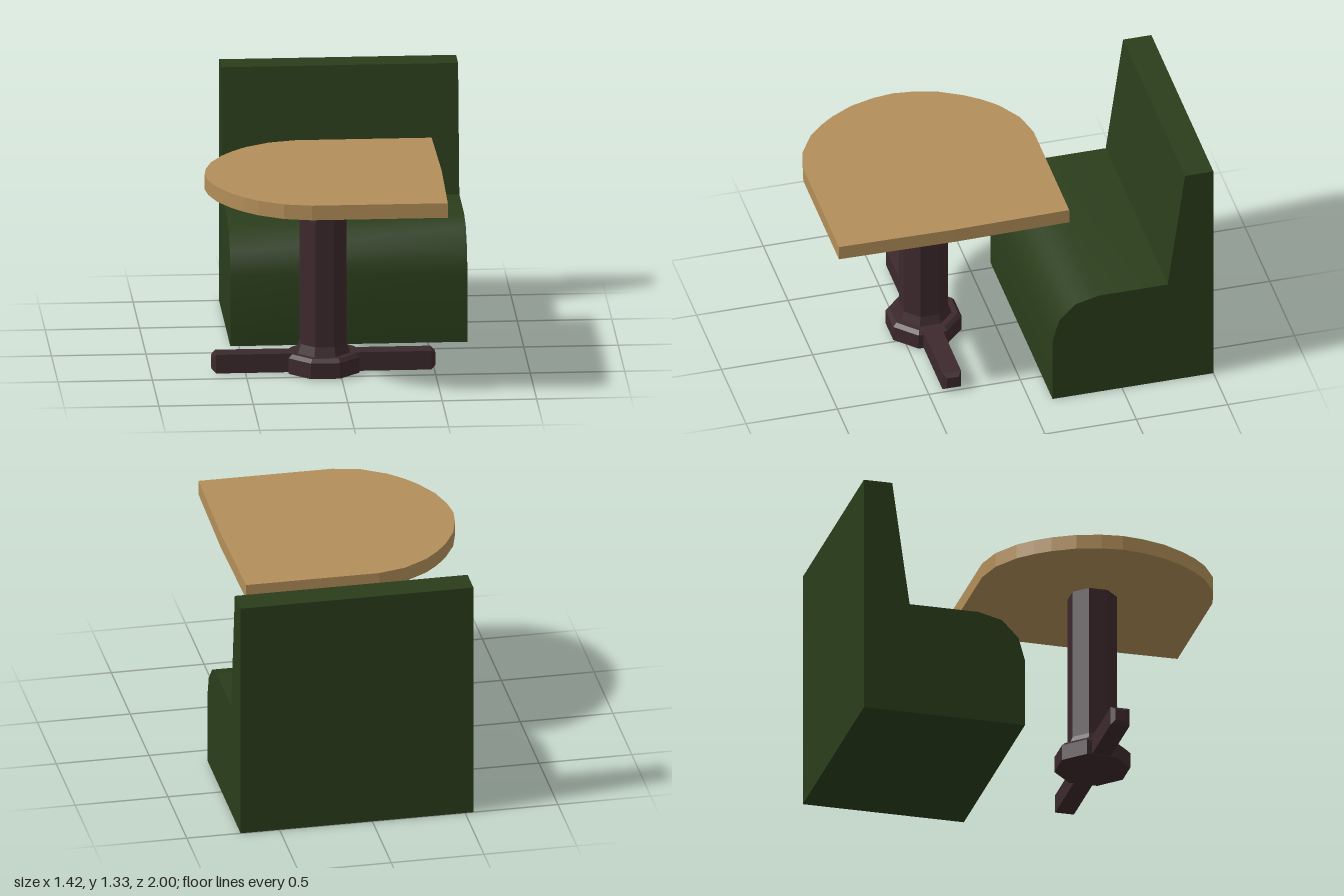
import * as THREE from 'three';
import { toCreasedNormals } from 'three/addons/utils/BufferGeometryUtils.js';

const green = new THREE.MeshStandardMaterial({ color: 0x2a3d1b });
const wood = new THREE.MeshStandardMaterial({ color: 0xb28e59 });
const darkWood = new THREE.MeshStandardMaterial({ color: 0x3c292d });

const TABLE_X = -0.087, TABLE_Z = 0.37;

function addMesh(parent, name, geometry, material) {
  const mesh = new THREE.Mesh(geometry, material);
  mesh.name = name;
  parent.add(mesh);
  return mesh;
}

function extrude(points, depth) {
  const shape = new THREE.Shape(points.map(([x, y]) => new THREE.Vector2(x, y)));
  return new THREE.ExtrudeGeometry(shape, { depth, bevelEnabled: false });
}

// Faceted solid with flats facing the axes; profile is [half width, height] upwards
function prism(profile, sides) {
  const k = 1 / Math.cos(Math.PI / sides);
  const points = profile.map(([r, y]) => new THREE.Vector2(r * k, y));
  return toCreasedNormals(new THREE.LatheGeometry(points, sides, Math.PI / sides), 0.05);
}

export function createModel() {
  const model = new THREE.Group();
  model.name = 'boothAndTable';

  // Bench: side profile [z, y] swept along x, soft front edge
  const benchGeometry = extrude([
    [-1, 0], [-0.12, 0], [-0.12, 0.38], [-0.155, 0.505], [-0.245, 0.597],
    [-0.375, 0.63], [-0.75, 0.63], [-0.845, 1.325], [-1, 1.325],
  ], 1.255);
  benchGeometry.rotateY(-Math.PI / 2).translate(0.71, 0, 0);
  addMesh(model, 'bench', toCreasedNormals(benchGeometry, 0.6), green);

  const table = new THREE.Group();
  table.name = 'table';
  model.add(table);

  // Tabletop: half outline [x, distance from centre line], mirrored
  const half = [
    [0.53, 0.63], [-0.19, 0.63], [-0.335, 0.595], [-0.465, 0.515],
    [-0.54, 0.44], [-0.6, 0.36], [-0.665, 0.24], [-0.702, 0.11],
  ];
  const mirrored = half.map(([x, d]) => [x, -d]);
  const outline = [[0.54, 0], ...half, [-0.715, 0], ...mirrored.reverse()];
  const topGeometry = extrude(outline, 0.08);
  topGeometry.rotateX(Math.PI / 2).translate(0, 1.085, TABLE_Z);
  addMesh(table, 'tabletop', topGeometry, wood);

  // Octagonal column with a flared foot
  addMesh(table, 'column', prism([
    [0.138, 0.1], [0.138, 0.11], [0.121, 0.16], [0.121, 1.005],
  ], 8), darkWood).position.set(TABLE_X, 0, TABLE_Z);

  // Octagonal hub with a chamfered upper edge
  addMesh(table, 'baseHub', prism([
    [0, 0.005], [0.187, 0.005], [0.187, 0.09], [0.168, 0.11], [0, 0.11],
  ], 8), darkWood).position.set(TABLE_X, 0, TABLE_Z);

  // Long foot bar with chamfered ends
  const barGeometry = prism([
    [0, -0.593], [0.031, -0.593], [0.051, -0.57],
    [0.051, 0.57], [0.031, 0.593], [0, 0.593],
  ], 4);
  barGeometry.rotateZ(Math.PI / 2);
  addMesh(table, 'footBar', barGeometry, darkWood).position.set(TABLE_X, 0.058, TABLE_Z);

  return model;
}
